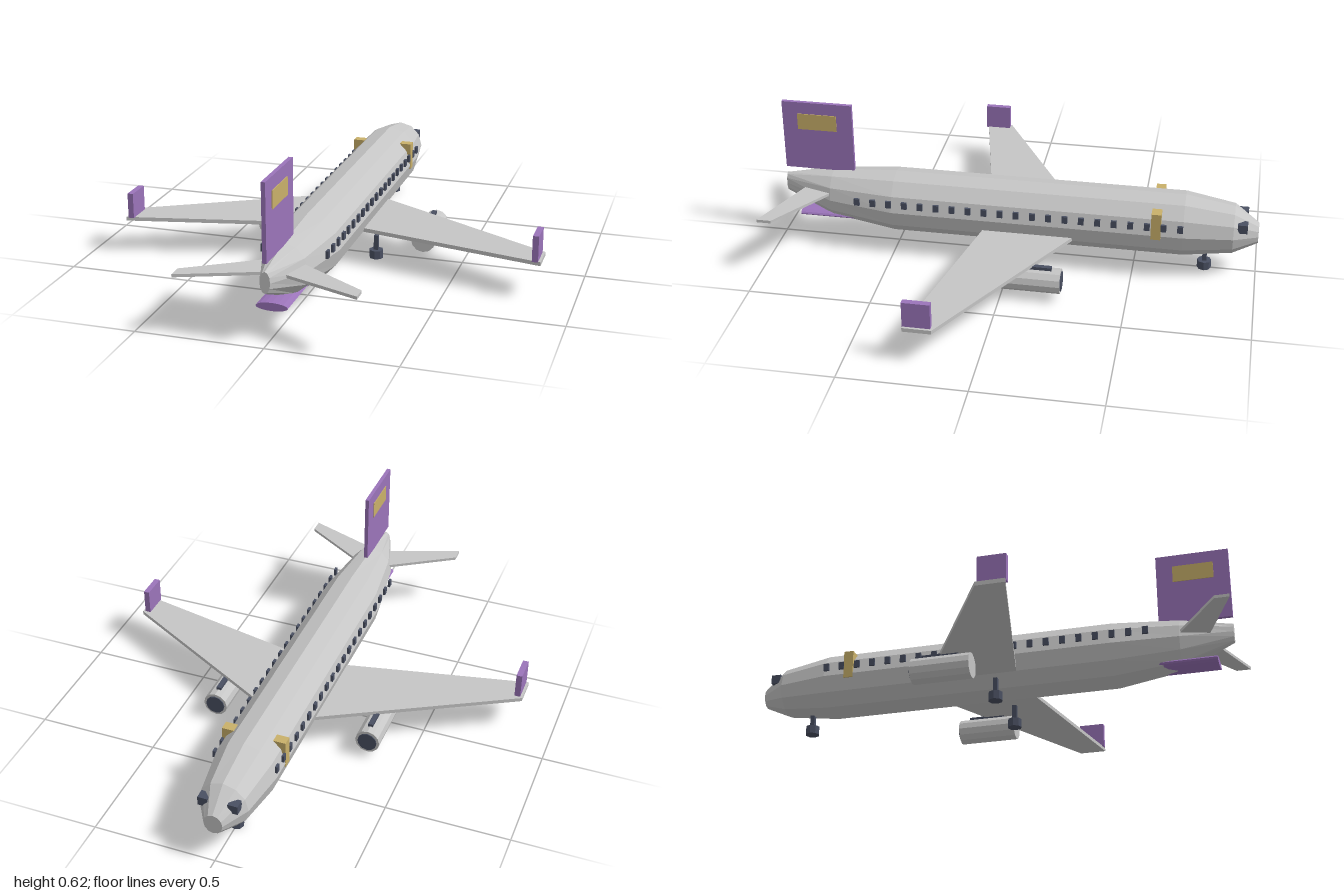
import * as THREE from 'three';

const mat = (name, color, extra = {}) => {
  const m = new THREE.MeshStandardMaterial({ color, flatShading: true, ...extra });
  m.name = name;
  return m;
};

export function createModel() {
  const plane = new THREE.Group();
  plane.name = 'airliner';
  const grey = mat('light grey', 0xc6c6c6);
  const purple = mat('purple', 0x9b74ba);
  const gold = mat('gold', 0xc9b06a);
  const dark = mat('dark slate', 0x4a5062);

  const add = (name, geometry, material, x = 0, y = 0, z = 0) => {
    const mesh = new THREE.Mesh(geometry, material);
    mesh.name = name;
    mesh.position.set(x, y, z);
    plane.add(mesh);
    return mesh;
  };
  const box = (name, material, w, h, d, x, y, z) =>
    add(name, new THREE.BoxGeometry(w, h, d), material, x, y, z);

  // Fuselage: twelve-sided rings [z, centre y, half width, half height]
  const sides = 12;
  const rings = [
    [-1, 0.184, 0.038, 0.043],
    [-0.9, 0.197, 0.1, 0.102],
    [-0.7, 0.202, 0.13, 0.132],
    [0.5, 0.202, 0.13, 0.132],
    [0.77, 0.214, 0.092, 0.104],
    [0.975, 0.242, 0.02, 0.042],
  ];
  const pos = [], idx = [];
  for (const [z, cy, rx, ry] of rings)
    for (let i = 0; i < sides; i++) {
      const a = (i / sides) * Math.PI * 2;
      pos.push(rx * Math.sin(a), cy + ry * Math.cos(a), z);
    }
  for (let r = 0; r < rings.length - 1; r++)
    for (let i = 0; i < sides; i++) {
      const j = (i + 1) % sides;
      const a = r * sides + i, b = r * sides + j, c = a + sides, d = b + sides;
      idx.push(a, c, b, b, c, d);
    }
  const last = (rings.length - 1) * sides;
  for (let i = 1; i < sides - 1; i++) {
    idx.push(0, i, i + 1);
    idx.push(last, last + i + 1, last + i);
  }
  const hull = new THREE.BufferGeometry();
  hull.setAttribute('position', new THREE.Float32BufferAttribute(pos, 3));
  hull.setIndex(idx);
  hull.computeVertexNormals();
  add('fuselage', hull, grey);

  // Flat horizontal panel from an outline of [x, z] points
  const panel = (name, outline, thick, y, s) => {
    const shape = new THREE.Shape(outline.map(([x, z]) => new THREE.Vector2(x * s, z)));
    const g = new THREE.ExtrudeGeometry(shape, { depth: thick, bevelEnabled: false });
    g.rotateX(Math.PI / 2);
    add(name, g, grey, 0, y + thick / 2, 0);
  };

  // Landing gear leg with a drum wheel
  const gear = (name, x, z) => {
    box(name + 'Strut', dark, 0.018, 0.07, 0.018, x, 0.062, z);
    add(name + 'Wheel', new THREE.CylinderGeometry(0.029, 0.029, 0.035, 8), dark, x, 0.0175, z);
  };

  for (const s of [1, -1]) {
    const side = s > 0 ? 'left' : 'right';
    panel(side + 'Wing', [[0.03, -0.3], [0.862, 0.165], [0.862, 0.277], [0.03, 0.1]], 0.016, 0.143, s);
    panel(side + 'Stabilizer', [[0, 0.72], [0.345, 0.942], [0.345, 1], [0, 0.868]], 0.012, 0.238, s);
    box(side + 'Winglet', purple, 0.024, 0.106, 0.108, s * 0.84, 0.202, 0.224);

    // Engine, intake and pylon
    const engine = new THREE.CylinderGeometry(0.051, 0.051, 0.24, 12).rotateX(Math.PI / 2);
    add(side + 'Engine', engine, grey, s * 0.333, 0.078, -0.12);
    const intake = new THREE.CylinderGeometry(0.04, 0.04, 0.008, 12).rotateX(Math.PI / 2);
    add(side + 'Intake', intake, dark, s * 0.333, 0.078, -0.24);
    box(side + 'Pylon', dark, 0.02, 0.04, 0.15, s * 0.333, 0.119, -0.128);

    // Cabin windows, cockpit window and door
    for (let i = 0; i < 21; i++)
      box(side + 'Window', dark, 0.01, 0.03, 0.023, s * 0.128, 0.24, 0.643 - i * 0.0666);
    box(side + 'CockpitWindow', dark, 0.04, 0.037, 0.04, s * 0.06, 0.237, -0.935);
    box(side + 'Door', gold, 0.056, 0.115, 0.04, s * 0.103, 0.243, -0.592);

    // Fin panel
    box(side + 'FinPanel', gold, 0.004, 0.07, 0.165, s * 0.009, 0.531, 0.829);
    gear(side + 'Gear', s * 0.147, 0.042);
  }
  gear('noseGear', 0, -0.79);

  // Tail fin and belly fairing
  box('tailFin', purple, 0.016, 0.302, 0.295, 0, 0.466, 0.8275);
  const fairing = new THREE.CylinderGeometry(1, 1, 0.26, 16).rotateX(Math.PI / 2).scale(0.062, 0.016, 1);
  add('bellyFairing', fairing, purple, 0, 0.123, 0.78);

  return plane;
}
